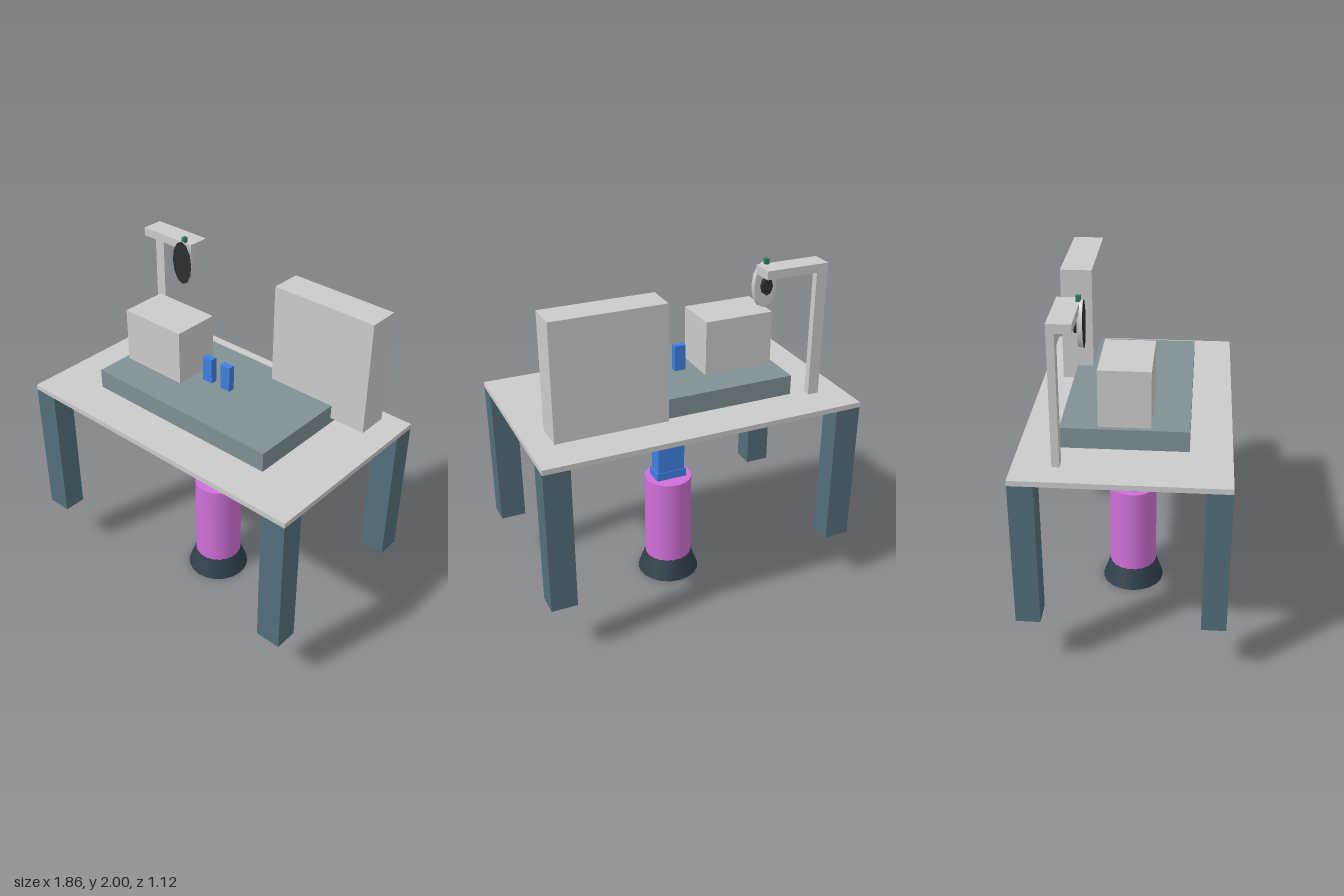
import * as THREE from 'three';

const mat = (color, extra = {}) => new THREE.MeshStandardMaterial({ color, ...extra });

export function createModel() {
  const model = new THREE.Group();
  const grey = mat(0xcccccc);
  const slate = mat(0x546e7a);
  const slab = mat(0x7f9094);
  const dark = mat(0x2f3f4a);
  const black = mat(0x2c2f33);
  const blue = mat(0x3f7fe0);
  const pink = mat(0xd070d8);
  const green = mat(0x2e7d5a);

  const add = (name, geometry, material, x = 0, y = 0, z = 0) => {
    const mesh = new THREE.Mesh(geometry, material);
    mesh.name = name;
    mesh.position.set(x, y, z);
    model.add(mesh);
    return mesh;
  };
  // box given by its limits on each axis
  const box = (name, material, [x0, x1], [y0, y1], [z0, z1]) =>
    add(name, new THREE.BoxGeometry(x1 - x0, y1 - y0, z1 - z0), material,
      (x0 + x1) / 2, (y0 + y1) / 2, (z0 + z1) / 2);

  // table
  box('tableTop', grey, [-0.928, 0.928], [1.17, 1.2], [-0.56, 0.56]);
  for (const sx of [-1, 1]) for (const sz of [-1, 1]) {
    add('tableLeg', new THREE.BoxGeometry(0.148, 0.855, 0.133), slate, sx * 0.853, 0.7575, sz * 0.493);
  }

  // work platform with its equipment
  box('mountingPlate', dark, [-0.13, 0.13], [1.143, 1.222], [-0.08, 0.08]);
  box('platform', slab, [-0.604, 0.602], [1.218, 1.332], [-0.338, 0.335]);
  box('equipmentBox', grey, [-0.577, -0.168], [1.32, 1.648], [-0.14, 0.135]);
  box('uprightPanel', grey, [0.185, 0.816], [1.253, 1.91], [-0.425, -0.247]);
  for (const x of [-0.067, 0.063]) {
    box('finger', blue, [x - 0.033, x + 0.033], [1.3, 1.482], [-0.02, 0.018]);
  }

  // lifting column
  box('column', blue, [-0.083, 0.083], [0.65, 1.145], [-0.05, 0.05]);
  box('columnCollar', blue, [-0.093, 0.093], [0.62, 0.702], [-0.055, 0.055]);
  add('columnSleeve', new THREE.CylinderGeometry(0.14, 0.14, 0.652, 32), pink, 0, 0.328, 0);
  add('flaredFoot', new THREE.CylinderGeometry(0.136, 0.185, 0.137, 20), dark, 0, 0.0685, 0);

  // lamp stand
  box('lampPost', grey, [-0.778, -0.713], [1.165, 1.925], [-0.355, -0.315]);
  box('lampArm', grey, [-0.78, -0.412], [1.922, 1.97], [-0.355, -0.23]);

  // oval lamp head: dished grey shell, dark face, hub on the back
  const shell = add('lampShell', new THREE.CylinderGeometry(1, 0.95, 0.028, 12).rotateX(Math.PI / 2),
    grey, -0.467, 1.85, -0.227);
  shell.scale.set(0.072, 0.13, 1);
  const face = add('lampFace', new THREE.CircleGeometry(1, 12), black, -0.467, 1.85, -0.212);
  face.scale.set(0.072, 0.13, 1);
  const hub = add('lampHub', new THREE.CylinderGeometry(1, 1, 0.03, 8).rotateX(Math.PI / 2),
    black, -0.467, 1.85, -0.248);
  hub.scale.set(0.033, 0.05, 1);
  box('lampKnob', green, [-0.478, -0.456], [1.965, 2.0], [-0.25, -0.225]);

  return model;
}
